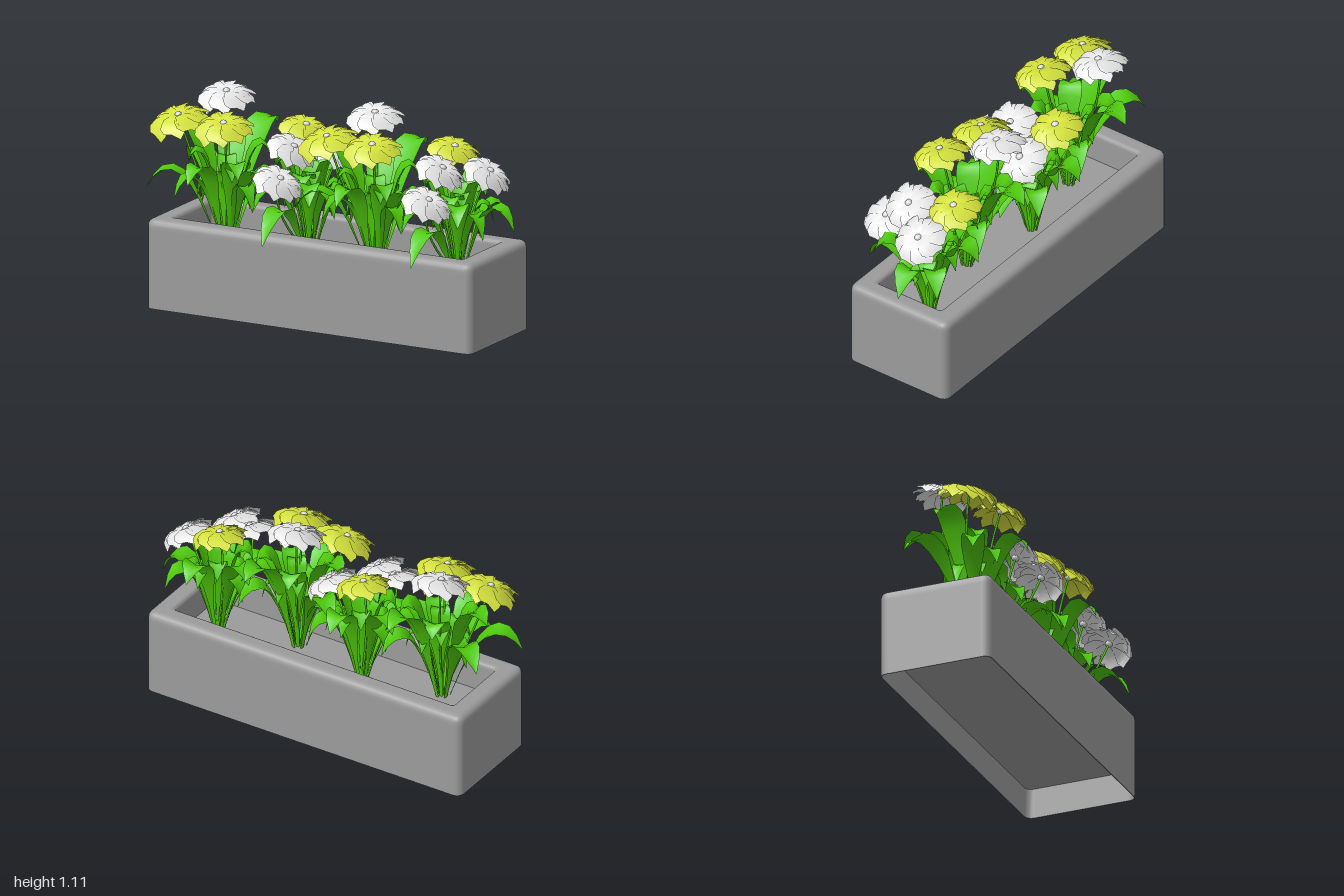
import * as THREE from 'three';
import { toCreasedNormals, mergeGeometries } from 'three/addons/utils/BufferGeometryUtils.js';

const V = (x, y, z) => new THREE.Vector3(x, y, z);

// Grid surface from a rule fn(i, j) -> Vector3; loop closes the j direction
function grid(rows, cols, fn, loop = false) {
  const pos = [], idx = [];
  for (let i = 0; i < rows; i++) for (let j = 0; j < cols; j++) pos.push(...fn(i, j).toArray());
  for (let i = 0; i < rows - 1; i++) {
    for (let j = 0; j < (loop ? cols : cols - 1); j++) {
      const k = (j + 1) % cols;
      const a = i * cols + j, b = i * cols + k, c = a + cols, d = b + cols;
      idx.push(a, c, b, b, c, d);
    }
  }
  const g = new THREE.BufferGeometry();
  g.setAttribute('position', new THREE.Float32BufferAttribute(pos, 3));
  g.setIndex(idx);
  g.computeVertexNormals();
  return g;
}

// Rounded rectangle ring, with extra points beside each corner to keep sides flat
function ring(hx, hz, r, y) {
  const pts = [];
  const signs = [[1, 1], [-1, 1], [-1, -1], [1, -1]];
  signs.forEach(([sx, sz], q) => {
    const cx = sx * (hx - r), cz = sz * (hz - r), pad = r * 0.3;
    for (let k = -1; k <= 5; k++) {
      const a = (q + Math.min(Math.max(k, 0), 4) / 4) * Math.PI / 2;
      const side = k === -1 ? -1 : k === 5 ? 1 : 0;
      const x = cx + r * Math.cos(a) - Math.sin(a) * pad * side;
      const z = cz + r * Math.sin(a) + Math.cos(a) * pad * side;
      pts.push(V(x, y, z));
    }
  });
  return pts;
}

// Open trough: recessed underside, thin foot, rounded rim, inner floor
function planterGeometry() {
  const W = 0.935, D = 0.303, H = 0.463, R = 0.035, wall = 0.105;
  const profile = [[D, 0.16], [0.005, 0.16], [0.005, 0], [0, 0], [0, 0.02], [0, H - R - 0.02]];
  for (let k = 0; k <= 4; k++) {
    const a = k / 4 * Math.PI / 2;
    profile.push([R * (1 - Math.cos(a)), H - R + R * Math.sin(a)]);
  }
  profile.push([R + 0.01, H], [wall - 0.03, H]);
  for (let k = 0; k <= 4; k++) {
    const a = k / 4 * Math.PI / 2;
    profile.push([wall - 0.02 + 0.02 * Math.sin(a), H - 0.02 + 0.02 * Math.cos(a)]);
  }
  profile.push([wall, H - 0.03], [wall, 0.3], [D, 0.3]);
  const rings = profile.map(([s, y]) => ring(W - s, D - s, Math.min(Math.max(0.04 - s, 0.02), (D - s) * 0.8), y));
  return toCreasedNormals(grid(rings.length, rings[0].length, (i, j) => rings[i][j], true), 0.5);
}

// Arching leaf with a narrow foot, a folded midrib and a drooping tip
function leafGeometry(base, tip, width) {
  const mid = base.clone().lerp(tip, 0.55);
  mid.y = tip.y + 0.2 + (0.9 - tip.y) * 0.35;
  const path = new THREE.QuadraticBezierCurve3(base, mid, tip);
  const side = V(tip.z - base.z, 0, base.x - tip.x).normalize();
  const half = [0.12, 0.2, 0.45, 0.8, 1, 1, 0.85, 0.5, 0.02], n = half.length - 1;
  return grid(n + 1, 3, (i, j) => {
    const t = path.getTangent(i / n), up = t.clone().cross(side).normalize();
    if (up.y < 0) up.negate();
    const w = half[i] * width;
    return path.getPoint(i / n).addScaledVector(side, (j - 1) * w)
      .addScaledVector(up, j === 1 ? 0 : w * 0.3);
  });
}

// Two overlapping layers of broad, drooping, slightly twisted petals
function blossomGeometry(R) {
  const us = [0, 0.3, 0.6, 0.86, 1], half = [0.07, 0.24, 0.38, 0.42, 0.28], rise = [0, 0.1, 0.09, -0.06, -0.2];
  const petals = [];
  for (const [count, scale, lift, turn] of [[9, 1, 0, 0], [7, 0.86, 0.05, 0.3]]) {
    for (let p = 0; p < count; p++) {
      const size = R * scale * (1 + 0.06 * Math.sin(p * 2.3));
      const g = grid(5, 3, (i, j) => {
        const v = j - 1;
        return V(us[i], rise[i] + lift - 0.08 * v * v * us[i] + 0.13 * v * us[i], v * half[i]).multiplyScalar(size);
      });
      petals.push(g.rotateY(p / count * Math.PI * 2 + turn));
    }
  }
  return mergeGeometries(petals);
}

export function createModel() {
  const model = new THREE.Group();
  const material = (name, color, side = THREE.FrontSide) => {
    const m = new THREE.MeshStandardMaterial({ color, side });
    m.name = name;
    return m;
  };
  const stone = material('grey stone', 0x9b9b9b);
  const green = material('leaf green', 0x4fca0c, THREE.DoubleSide);
  const white = material('white petal', 0xe8e8e8, THREE.DoubleSide);
  const yellow = material('yellow petal', 0xd3e03c, THREE.DoubleSide);
  const pale = material('flower centre grey', 0xdcdcdc);

  const add = (parent, name, geometry, mat) => {
    const mesh = new THREE.Mesh(geometry, mat);
    mesh.name = name;
    parent.add(mesh);
    return mesh;
  };

  const planter = add(model, 'planter', planterGeometry(), stone);
  planter.position.set(0.004, 0, -0.03);

  // Each plant: root, leaf tips with half width, flowers (position, facing, radius, colour)
  const plants = [
    {
      root: V(-0.59, 0.3, 0.04),
      leaves: [
        [-0.97, 0.6, 0.2, 0.06], [-0.9, 0.85, -0.03, 0.075], [-0.53, 0.87, -0.37, 0.08],
        [-0.64, 0.69, 0.36, 0.065], [-0.41, 0.78, -0.08, 0.07], [-0.33, 0.64, 0.1, 0.06],
        [-0.94, 0.66, -0.19, 0.065], [-0.78, 0.58, 0.25, 0.055], [-0.38, 0.58, -0.2, 0.06],
        [-0.68, 0.78, -0.2, 0.07], [-0.45, 0.7, 0.18, 0.06], [-0.76, 0.74, 0.14, 0.06],
      ],
      flowers: [
        [V(-0.825, 0.975, 0.12), V(-0.17, 1, 0.3), 0.15, yellow],
        [V(-0.54, 0.98, 0.165), V(0.05, 1, 0.3), 0.142, yellow],
        [V(-0.67, 1.07, -0.095), V(0.05, 1, 0.25), 0.14, white],
      ],
    },
    {
      root: V(-0.17, 0.3, -0.05),
      leaves: [
        [-0.47, 0.61, 0.06, 0.065], [-0.17, 0.72, -0.35, 0.07], [-0.21, 0.43, 0.36, 0.06],
        [0.14, 0.56, -0.08, 0.065], [0.0, 0.74, -0.04, 0.06], [-0.42, 0.7, -0.16, 0.07],
        [-0.03, 0.62, 0.2, 0.06], [-0.33, 0.72, 0.02, 0.065], [0.03, 0.56, -0.24, 0.06],
        [-0.35, 0.56, 0.2, 0.06], [-0.12, 0.66, 0.13, 0.06],
      ],
      flowers: [
        [V(-0.24, 0.94, -0.145), V(0.25, 1, 0.1), 0.132, yellow],
        [V(-0.18, 0.89, 0.09), V(0.55, 1, 0.05), 0.13, white],
        [V(-0.18, 0.755, 0.23), V(0.5, 1, 0.15), 0.13, white],
        [V(-0.01, 0.855, -0.095), V(0.6, 1, 0), 0.13, white],
      ],
    },
  ];

  // The pair of plants repeats along the planter
  for (const offset of [0, 0.855]) {
    for (const { root, leaves, flowers } of plants) {
      const plant = new THREE.Group();
      plant.name = 'plant';
      plant.position.x = offset;
      model.add(plant);

      // Short leaves filling the heart of the plant
      const inner = [];
      for (let k = 0; k < 9; k++) {
        const a = k * 2.4, r = 0.13 + 0.03 * (k % 3);
        inner.push([root.x + r * Math.cos(a), 0.52 + 0.05 * (k % 4), root.z + r * Math.sin(a) * 0.9, 0.05]);
      }
      for (const [x, y, z, w] of [...leaves, ...inner]) {
        const start = root.clone().add(V((x - root.x) * 0.1, 0, (z - root.z) * 0.1));
        add(plant, 'leaf', leafGeometry(start, V(x, y, z), w), green);
      }

      for (const [centre, facing, radius, petalColour] of flowers) {
        const n = facing.clone().normalize();
        const bend = centre.clone().addScaledVector(n, -0.2);
        const stemPath = new THREE.QuadraticBezierCurve3(root, bend, centre);
        add(plant, 'stem', new THREE.TubeGeometry(stemPath, 8, 0.006, 5), green);

        const flower = new THREE.Group();
        flower.name = 'flower';
        flower.position.copy(centre);
        flower.quaternion.setFromUnitVectors(V(0, 1, 0), n);
        plant.add(flower);
        add(flower, 'petals', blossomGeometry(radius), petalColour);
        const bud = add(flower, 'flowerCentre', new THREE.SphereGeometry(0.02, 10, 8), pale);
        bud.position.y = 0.004;
      }
    }
  }
  return model;
}
